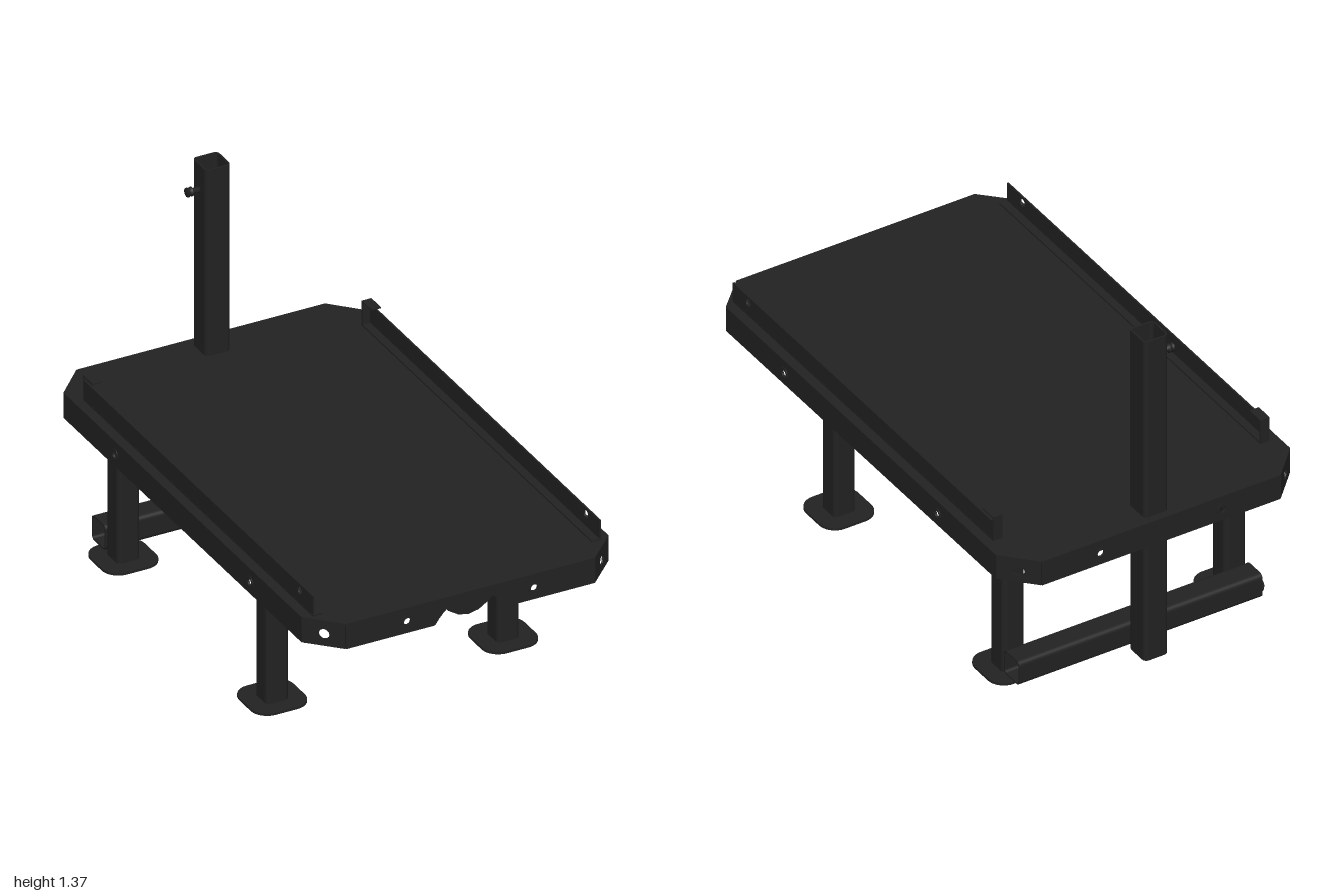
import * as THREE from 'three';

const mat = new THREE.MeshStandardMaterial({ color: 0x222222, side: THREE.DoubleSide });

function add(parent, name, geo, x = 0, y = 0, z = 0) {
  const m = new THREE.Mesh(geo, mat);
  m.name = name;
  m.position.set(x, y, z);
  parent.add(m);
  return m;
}

const box = (w, h, d) => new THREE.BoxGeometry(w, h, d);

// Rounded rectangle centred on (cx, cy)
function roundRect(Type, w, h, r, cx = 0, cy = 0) {
  const s = new Type(), x = w / 2, y = h / 2;
  s.moveTo(cx + x, cy - y + r);
  s.absarc(cx + x - r, cy + y - r, r, 0, Math.PI / 2);
  s.absarc(cx - x + r, cy + y - r, r, Math.PI / 2, Math.PI);
  s.absarc(cx - x + r, cy - y + r, r, Math.PI, Math.PI * 1.5);
  s.absarc(cx + x - r, cy - y + r, r, Math.PI * 1.5, Math.PI * 2);
  s.closePath();
  return s;
}

const extrude = (shape, depth) =>
  new THREE.ExtrudeGeometry(shape, { depth, bevelEnabled: false, curveSegments: 6 });

// Hollow section, length along local z
function tube(w, h, length, r = 0.018, wall = 0.006) {
  const s = roundRect(THREE.Shape, w, h, r);
  s.holes.push(roundRect(THREE.Path, w - 2 * wall, h - 2 * wall, r - wall));
  return extrude(s, length);
}
const upright = (w, d, length) => tube(w, d, length).rotateX(-Math.PI / 2);
const crosswise = (d, h, length) => tube(d, h, length).translate(0, 0, -length / 2).rotateY(Math.PI / 2);

function circleHole(x, y, r) {
  const p = new THREE.Path();
  p.absarc(x, y, r, 0, Math.PI * 2);
  return p;
}

export function createModel() {
  const model = new THREE.Group();
  model.name = 'platformStand';
  const top = 0.623, bottom = 0.522, postZ = -0.918;

  // Deck plate with clipped corners and an opening for the post
  const outline = [[-0.49, 1], [0.49, 1], [0.605, 0.885], [0.605, -0.88],
    [0.49, -1], [-0.49, -1], [-0.605, -0.88], [-0.605, 0.885]];
  const deck = new THREE.Shape(outline.map(([x, z]) => new THREE.Vector2(x, -z)));
  deck.holes.push(roundRect(THREE.Path, 0.1, 0.104, 0.018, 0, -postZ));
  add(model, 'deck', extrude(deck, 0.006).rotateX(-Math.PI / 2), 0, top - 0.006, 0);

  // Folded skirt, one panel per outline edge
  const skirt = new THREE.Group();
  skirt.name = 'skirt';
  model.add(skirt);
  const h = top - bottom - 0.001;
  outline.forEach(([x0, z0], i) => {
    const [x1, z1] = outline[(i + 1) % outline.length];
    const len = Math.hypot(x1 - x0, z1 - z0), mid = len / 2;
    const gap = i % 2 ? 0.004 : 0;
    const s = new THREE.Shape();
    s.moveTo(gap, 0);
    if (i === 0) {
      // Hand notch in the front edge
      s.lineTo(mid - 0.14, 0);
      s.quadraticCurveTo(mid - 0.09, 0.075, mid - 0.04, 0.077);
      s.lineTo(mid + 0.04, 0.077);
      s.quadraticCurveTo(mid + 0.09, 0.075, mid + 0.14, 0);
    }
    s.lineTo(len - gap, 0);
    s.lineTo(len - gap, h);
    s.lineTo(gap, h);
    s.closePath();
    const panel = new THREE.Group();
    panel.name = 'skirtSide';
    panel.position.set(x0, bottom, z0);
    panel.rotation.y = Math.atan2(z0 - z1, x1 - x0);
    skirt.add(panel);
    if (i % 2) s.holes.push(circleHole(mid, 0.047, 0.02));
    const spread = i % 4 === 0 ? 0.25 : 0.5;
    if (i % 2 === 0) {
      // Pressed round bosses
      for (const u of [mid - spread, mid + spread]) {
        s.holes.push(circleHole(u, 0.047, 0.014));
        const ring = new THREE.Shape().absarc(u, 0.047, 0.024, 0, Math.PI * 2);
        ring.holes.push(circleHole(u, 0.047, 0.014));
        add(panel, 'boss', extrude(ring, 0.009), 0, 0, -0.006);
      }
    }
    add(panel, 'skirtPanel', extrude(s, 0.006), 0, 0, -0.006);
  });

  // Curved scoop behind the hand notch
  const scoop = new THREE.Shape();
  scoop.moveTo(-0.12, 0.077);
  scoop.quadraticCurveTo(0, -0.075, 0.12, 0.077);
  scoop.closePath();
  add(model, 'handScoop', extrude(scoop, 0.1), 0, bottom, 0.885);

  // Legs, feet and side rails, mirrored
  for (const side of [-1, 1]) {
    for (const z of [0.385, -0.718]) {
      const leg = new THREE.Group();
      leg.name = z > 0 ? 'frontLeg' : 'rearLeg';
      leg.position.set(side * 0.455, 0, z);
      model.add(leg);
      add(leg, 'legTube', upright(0.09, 0.09, top - 0.014), 0, 0.006, 0);
      const plate = roundRect(THREE.Shape, 0.214, 0.214, 0.065);
      plate.holes.push(roundRect(THREE.Path, 0.078, 0.078, 0.012));
      add(leg, 'footPlate', extrude(plate, 0.009).rotateX(-Math.PI / 2));
    }

    const rail = new THREE.Group();
    rail.name = 'sideRail';
    model.add(rail);
    // Upright web with a pin hole near the front
    const web = new THREE.Shape();
    web.moveTo(-0.9, 0);
    web.lineTo(0.8, 0);
    web.lineTo(0.8, 0.08);
    web.lineTo(-0.9, 0.08);
    web.closePath();
    web.holes.push(circleHole(-0.8, 0.055, 0.016));
    add(rail, 'railWeb', extrude(web, 0.006).rotateY(Math.PI / 2), side * 0.564 - 0.003, top, 0);
    add(rail, 'railFlange', box(0.037, 0.006, 1.7), side * 0.549, top + 0.003, 0.05);
    // Bent stop at the rear end
    add(rail, 'stopPlate', box(0.038, 0.1, 0.005), side * 0.549, top + 0.05, -0.802);
    add(rail, 'stopTab', box(0.038, 0.005, 0.07), side * 0.549, top + 0.098, -0.768);
  }

  // Beams under the deck joining the leg pairs
  for (const z of [0.385, -0.718]) {
    add(model, 'underBeam', crosswise(0.09, 0.06, 1.15), 0, 0.587, z);
  }

  // Low rear crossbar and mast
  add(model, 'rearCrossbar', crosswise(0.1, 0.1, 1.0), 0, 0.065, -0.816);
  add(model, 'mast', upright(0.1, 0.104, 1.358), 0, 0.012, postZ);

  // Locking knob on the mast
  const profile = [[0, 0], [0.011, 0], [0.011, 0.026], [0.017, 0.03], [0.018, 0.036],
    [0.013, 0.04], [0.013, 0.043], [0.018, 0.046], [0.017, 0.052], [0, 0.053]];
  const knob = new THREE.LatheGeometry(profile.map(([r, y]) => new THREE.Vector2(r, y)), 16);
  add(model, 'lockKnob', knob.rotateZ(Math.PI / 2), -0.048, 1.27, postZ);

  return model;
}
